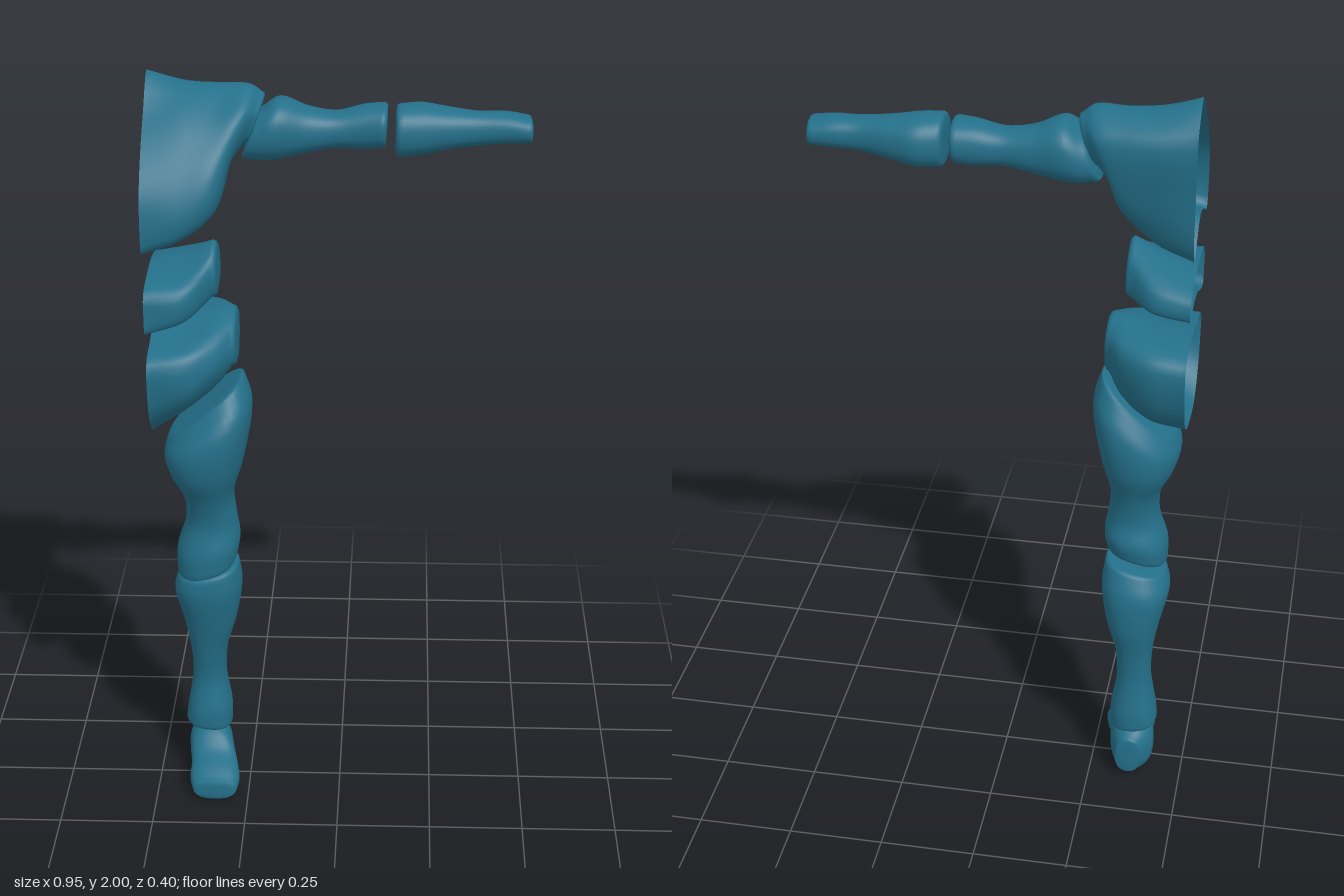
import * as THREE from 'three';

const material = new THREE.MeshStandardMaterial({ color: 0x24708a, side: THREE.DoubleSide });
const AROUND = 40, ALONG = 28;

// Place cross-section coordinates (a, b) at position p along an axis.
const place = {
  x: (a, b, p) => new THREE.Vector3(p, a, b),
  y: (a, b, p) => new THREE.Vector3(b, p, a),
  z: (a, b, p) => new THREE.Vector3(a, b, p),
};

// Smooth skin through rings of points; ends are closed with softly rounded caps.
function loft(name, rings, axis, capStart, capEnd) {
  const round = rings.map((r) => {
    const c = new THREE.CatmullRomCurve3(r, true);
    return Array.from({ length: AROUND }, (_, i) => c.getPoint(i / AROUND));
  });
  const lines = Array.from({ length: AROUND }, (_, i) =>
    new THREE.CatmullRomCurve3(round.map((r) => r[i])));
  const grid = [];
  for (let j = 0; j <= ALONG; j++) grid.push(lines.map((l) => l.getPoint(j / ALONG)));
  const cap = (ring, dir) => {
    const mid = ring.reduce((s, p) => s.add(p), new THREE.Vector3()).divideScalar(AROUND);
    return [[0.96, 0.006], [0.88, 0.01], [0.5, 0.011], [0, 0.011]].map(([s, d]) =>
      ring.map((p) => {
        const q = mid.clone().lerp(p, s);
        q[axis] += d * dir;
        return q;
      }));
  };
  const first = grid[0], last = grid[ALONG];
  if (capStart) grid.unshift(...cap(first, -1).reverse());
  if (capEnd) grid.push(...cap(last, 1));

  const index = [];
  for (let j = 0; j < grid.length - 1; j++) {
    for (let i = 0; i < AROUND; i++) {
      const k = (i + 1) % AROUND, a = j * AROUND, b = a + AROUND;
      index.push(a + i, a + k, b + i, a + k, b + k, b + i);
    }
  }
  const geometry = new THREE.BufferGeometry().setFromPoints(grid.flat());
  geometry.setIndex(index);
  geometry.computeVertexNormals();
  const mesh = new THREE.Mesh(geometry, material);
  mesh.name = name;
  return mesh;
}

// Limb from squarish ovals: [position, aMin, aMax, bMin, bMax, tiltA, tiltB].
function limb(name, axis, sections) {
  const soft = (v) => Math.sign(v) * Math.abs(v) ** 0.85;
  const rings = sections.map(([p, a0, a1, b0, b1, ta = 0, tb = 0]) =>
    Array.from({ length: 16 }, (_, i) => {
      const t = (i / 16) * Math.PI * 2;
      const a = soft(Math.cos(t)) * (a1 - a0) / 2, b = soft(Math.sin(t)) * (b1 - b0) / 2;
      return place[axis]((a0 + a1) / 2 + a, (b0 + b1) / 2 + b, p + ta * a + tb * b);
    }));
  return loft(name, rings, axis, true, true);
}

// Half-trunk shell, open at the centre line: { x, tilt, loop of [y, z] }.
function trunk(name, sections) {
  const rings = sections.map(({ x, tilt = 0, loop }) => {
    const mid = loop.reduce((s, p) => s + p[0], 0) / loop.length;
    return loop.map(([y, z]) => place.x(y, z, x + tilt * (y - mid)));
  });
  return loft(name, rings, 'x', false, true);
}

export function createModel() {
  const group = new THREE.Group();
  group.name = 'halfBody';

  // Trunk: loops run top, front, bottom, back
  group.add(trunk('chest', [
    { x: -0.475, loop: [[2, -.06], [1.92, .04], [1.85, .12], [1.76, .185], [1.67, .2], [1.61, .187],
      [1.65, .09], [1.67, 0], [1.595, -.1], [1.63, -.132], [1.78, -.145], [1.93, -.15]] },
    { x: -0.38, loop: [[1.97, -.07], [1.93, .03], [1.86, .11], [1.77, .17], [1.69, .19], [1.64, .17],
      [1.67, .08], [1.68, 0], [1.63, -.09], [1.68, -.12], [1.78, -.145], [1.92, -.16]] },
    { x: -0.3, loop: [[1.965, -.07], [1.93, .01], [1.88, .08], [1.81, .14], [1.74, .155], [1.7, .13],
      [1.7, .06], [1.7, 0], [1.7, -.08], [1.72, -.12], [1.8, -.15], [1.92, -.155]] },
    { x: -0.25, tilt: 0.25, loop: [[1.965, -.07], [1.945, -.01], [1.91, .04], [1.86, .065], [1.82, .06], [1.8, .03],
      [1.79, 0], [1.79, -.04], [1.79, -.09], [1.81, -.13], [1.86, -.15], [1.92, -.145]] },
    { x: -0.222, tilt: 0.4, loop: [[1.945, -.07], [1.93, -.03], [1.91, 0], [1.88, .01], [1.85, .01], [1.83, -.01],
      [1.82, -.03], [1.815, -.06], [1.82, -.09], [1.84, -.12], [1.88, -.13], [1.925, -.11]] },
  ]));
  group.add(trunk('abdomen', [
    { x: -0.475, loop: [[1.53, -.03], [1.525, .08], [1.5, .185], [1.45, .192], [1.4, .185],
      [1.42, .1], [1.45, .03], [1.46, -.05], [1.45, -.14], [1.5, -.135]] },
    { x: -0.38, loop: [[1.56, 0], [1.54, .08], [1.505, .165], [1.46, .175], [1.425, .16],
      [1.435, .08], [1.455, .02], [1.46, -.05], [1.46, -.125], [1.52, -.115]] },
    { x: -0.315, loop: [[1.59, .02], [1.575, .06], [1.54, .09], [1.5, .095], [1.465, .08],
      [1.455, .05], [1.455, .01], [1.46, -.03], [1.475, -.065], [1.55, -.05]] },
  ]));
  group.add(trunk('pelvis', [
    { x: -0.475, loop: [[1.37, -.05], [1.345, .07], [1.315, .18], [1.25, .185], [1.17, .165],
      [1.105, .1], [1.1, .02], [1.14, -.12], [1.24, -.185], [1.35, -.192]] },
    { x: -0.38, loop: [[1.38, -.05], [1.355, .07], [1.325, .165], [1.25, .175], [1.2, .15],
      [1.165, .09], [1.16, 0], [1.16, -.12], [1.24, -.18], [1.36, -.185]] },
    { x: -0.31, loop: [[1.395, -.04], [1.38, .04], [1.345, .11], [1.29, .13], [1.25, .11],
      [1.22, .07], [1.21, 0], [1.2, -.08], [1.24, -.13], [1.36, -.15]] },
    { x: -0.272, loop: [[1.395, -.03], [1.385, .02], [1.36, .06], [1.32, .08], [1.28, .07],
      [1.26, .04], [1.255, 0], [1.25, -.05], [1.28, -.09], [1.36, -.1]] },
  ]));

  // Leg: a is z, b is x
  group.add(limb('thigh', 'y', [
    [.69, -.093, .098, -.433, -.272, -.18, .25],
    [.74, -.1, .1, -.432, -.265, -.1, .15],
    [.81, -.085, .085, -.407, -.272],
    [.89, -.097, .105, -.41, -.278],
    [.98, -.13, .147, -.443, -.248, 0, .2],
    [1.08, -.132, .153, -.456, -.226, 0, .6],
    [1.135, -.1, .11, -.447, -.245, 0, .85],
  ]));
  group.add(limb('shin', 'y', [
    [.165, -.11, .032, -.427, -.3, 0, -.1],
    [.21, -.11, .034, -.422, -.3],
    [.31, -.1, .02, -.406, -.314],
    [.4, -.106, .035, -.408, -.308],
    [.5, -.125, .06, -.425, -.28],
    [.6, -.125, .083, -.445, -.264, 0, .05],
    [.652, -.1, .082, -.435, -.27, -.05, .2],
  ]));

  // Foot: a is x, b is y
  group.add(limb('foot', 'z', [
    [-.1, -.395, -.32, .015, .13],
    [-.06, -.42, -.305, .003, .15],
    [0, -.417, -.295, .02, .145],
    [.05, -.41, -.282, .018, .105],
    [.1, -.41, -.274, .006, .085],
    [.135, -.4, -.28, .006, .067],
  ]));

  // Arm: a is y, b is z
  group.add(limb('upperArm', 'x', [
    [-.215, 1.78, 1.905, -.14, .01, .35],
    [-.165, 1.776, 1.93, -.155, .016, .2],
    [-.08, 1.793, 1.905, -.14, -.012],
    [-.01, 1.805, 1.895, -.13, -.023],
    [.06, 1.802, 1.91, -.14, -.02],
    [.104, 1.806, 1.914, -.147, -.012, .06],
  ]));
  group.add(limb('forearm', 'x', [
    [.147, 1.787, 1.915, -.136, .003],
    [.2, 1.79, 1.915, -.151, -.005],
    [.26, 1.802, 1.906, -.14, -.018],
    [.34, 1.814, 1.897, -.12, -.029],
    [.41, 1.82, 1.896, -.125, -.027],
    [.46, 1.823, 1.888, -.125, -.022, 0, .06],
  ]));
  return group;
}
